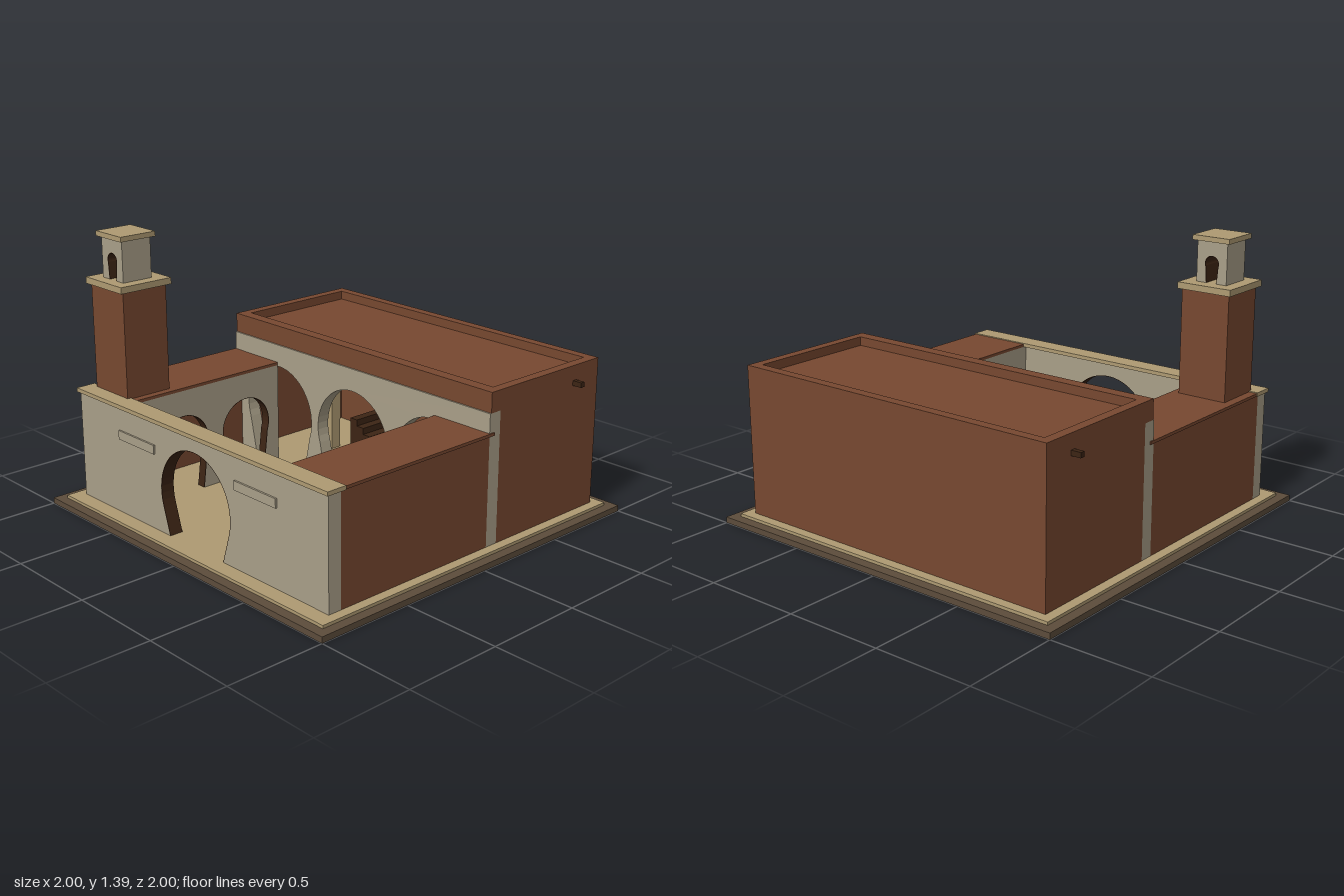
import * as THREE from 'three';

const mat = (name, color) => {
  const m = new THREE.MeshStandardMaterial({ color });
  m.name = name;
  return m;
};

export function createModel() {
  const brick = mat('red brown plaster', 0x774830);
  const stone = mat('grey stone', 0xa99f88);
  const sand = mat('sandstone', 0xae9a72);
  const earth = mat('dark earth', 0x5c4c3b);
  const wood = mat('dark wood', 0x3c2414);
  const model = new THREE.Group();
  model.name = 'courtyardBuilding';

  const add = (name, geometry, material, parent = model) => {
    const m = new THREE.Mesh(geometry, material);
    m.name = name;
    parent.add(m);
    return m;
  };
  // Box given by its extents on each axis
  const box = (name, material, x0, x1, y0, y1, z0, z1, parent) => {
    const m = add(name, new THREE.BoxGeometry(x1 - x0, y1 - y0, z1 - z0), material, parent);
    m.position.set((x0 + x1) / 2, (y0 + y1) / 2, (z0 + z1) / 2);
    return m;
  };

  // Horseshoe outline from the left foot over the top to the right foot
  const archPoints = ({ x, r, y, foot }) => {
    const pts = [new THREE.Vector2(x - foot, 0)];
    for (let i = 0; i <= 28; i++) {
      const a = THREE.MathUtils.degToRad(200 - (220 * i) / 28);
      pts.push(new THREE.Vector2(x + r * Math.cos(a), y + r * Math.sin(a)));
    }
    pts.push(new THREE.Vector2(x + foot, 0));
    return pts;
  };

  // Wall standing on its local y = 0, pierced by arches, optionally lined with wood
  const archedWall = (name, x0, x1, h, depth, arches, lined) => {
    const g = new THREE.Group();
    g.name = name;
    const outline = [new THREE.Vector2(x0, 0)];
    arches.forEach((a) => outline.push(...archPoints(a)));
    outline.push(new THREE.Vector2(x1, 0), new THREE.Vector2(x1, h), new THREE.Vector2(x0, h));
    const extrude = (pts) => new THREE.ExtrudeGeometry(new THREE.Shape(pts), { depth, bevelEnabled: false });
    add(name + 'Stone', extrude(outline), stone, g);
    if (lined) arches.forEach((a) => {
      const inner = archPoints({ ...a, r: a.r - 0.003, foot: a.foot - 0.003 }).reverse();
      add('archLining', extrude([...archPoints(a), ...inner]), wood, g);
    });
    model.add(g);
    return g;
  };

  // Base and floor
  box('base', earth, -1, 1, 0, 0.03, -1, 1);
  box('floor', sand, -0.95, 0.95, 0.03, 0.045, -0.95, 0.95);

  // Prayer hall shell, roof and parapet
  box('hallBackWall', brick, -0.9, 0.9, 0.045, 0.8, -0.9, -0.85);
  for (const s of [-1, 1]) {
    const x = s * 0.875;
    box('hallSideWall', brick, x - 0.025, x + 0.025, 0.045, 0.8, -0.85, -0.19);
    box('roofBeam', wood, s * 0.92 - 0.03, s * 0.92 + 0.03, 0.7, 0.725, -0.735, -0.71);
  }
  box('hallFrontParapet', brick, -0.9, 0.9, 0.7, 0.8, -0.19, -0.128);
  box('hallRoof', brick, -0.85, 0.85, 0.7, 0.755, -0.85, -0.19);
  archedWall('hallArcade', -0.9, 0.9, 0.655, 0.07,
    [-0.55, 0, 0.55].map((x) => ({ x, r: 0.25, y: 0.29, foot: 0.19 })), false)
    .position.set(0, 0.045, -0.19);

  // Hall columns and stepped pulpit
  for (const x of [-0.55, 0, 0.55]) box('hallColumn', sand, x - 0.03, x + 0.03, 0.045, 0.7, -0.53, -0.47);
  for (let i = 0; i < 5; i++) {
    const x = -0.2 - i * 0.05;
    box('pulpitStep', wood, x - 0.05, x, 0.045, 0.085 + i * 0.035, -0.76, -0.54);
  }

  // Side galleries, open to the courtyard
  for (const s of [-1, 1]) {
    const outer = s * 0.88;
    box('galleryOuterWall', brick, outer - 0.02, outer + 0.02, 0.045, 0.59, -0.12, 0.8);
    const rx = s * 0.7325;
    box('galleryRoof', brick, rx - 0.1725, rx + 0.1725, 0.59, 0.605, -0.15, 0.8);
    const arcade = archedWall('galleryArcade', -0.12, 0.8, 0.545, 0.05,
      [0.1, 0.5].map((x) => ({ x, r: 0.155, y: 0.26, foot: 0.12 })), true);
    arcade.rotation.y = -Math.PI / 2;
    arcade.position.set(s < 0 ? -0.56 : 0.61, 0.045, 0);
  }

  // Front wall with gate, coping and plaques
  archedWall('frontWall', -0.9, 0.9, 0.545, 0.07, [{ x: 0, r: 0.257, y: 0.22, foot: 0.2 }], true)
    .position.set(0, 0.045, 0.8);
  box('frontCoping', sand, -0.91, 0.91, 0.59, 0.61, 0.78, 0.885);
  for (const x of [-0.435, 0.435]) box('frontPlaque', stone, x - 0.14, x + 0.14, 0.43, 0.475, 0.87, 0.879);

  // Tower with lantern
  box('towerShaft', brick, -0.86, -0.6, 0.6, 1.135, 0.55, 0.8);
  box('towerCornice', sand, -0.88, -0.588, 1.135, 1.167, 0.525, 0.818);
  archedWall('lantern', -0.0825, 0.0825, 0.205, 0.165, [{ x: 0, r: 0.039, y: 0.095, foot: 0.03 }], true)
    .position.set(-0.733, 1.167, 0.595);
  box('lanternCap', sand, -0.835, -0.632, 1.37, 1.395, 0.577, 0.778);

  return model;
}
